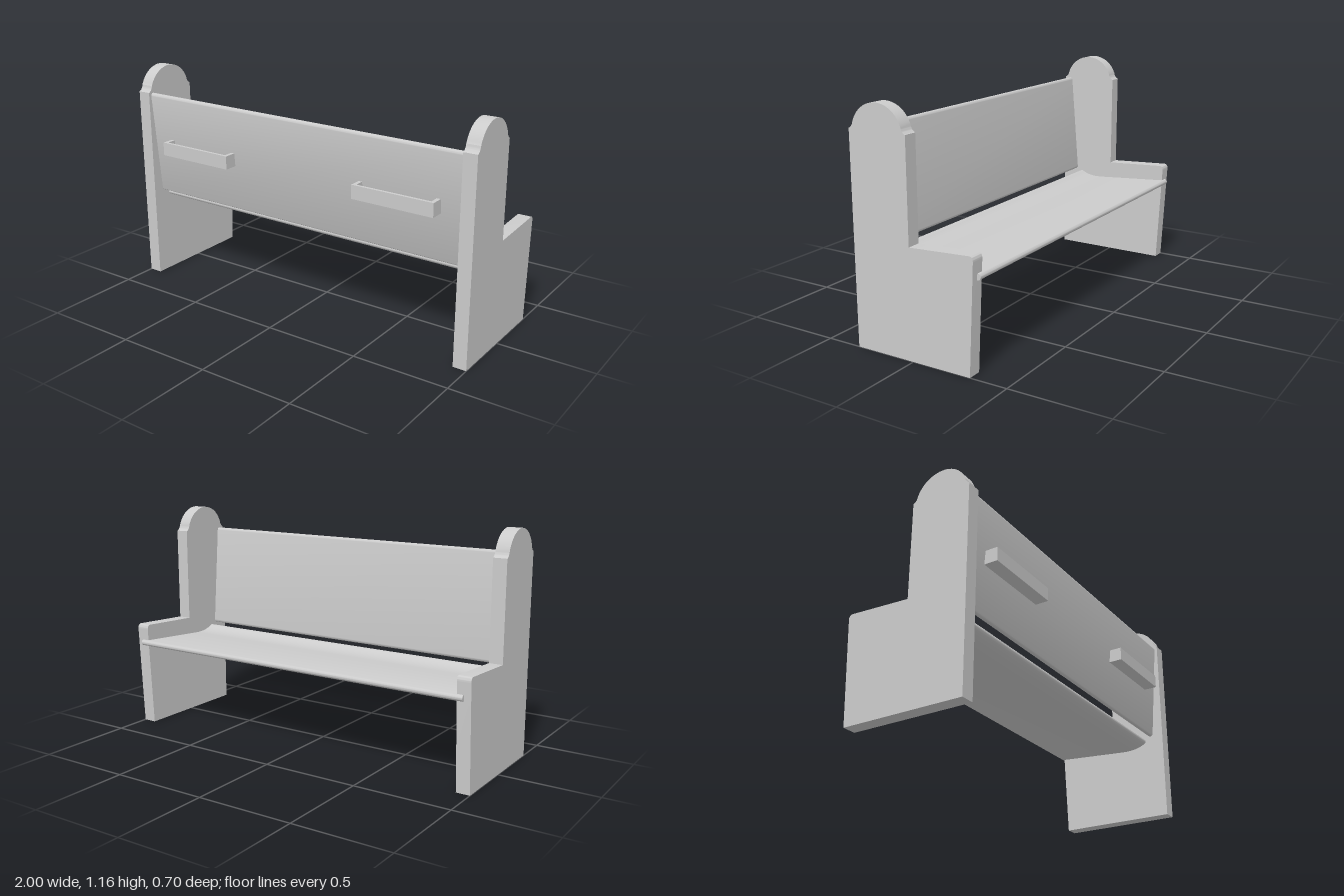
import * as THREE from 'three';
import { toCreasedNormals } from 'three/addons/utils/BufferGeometryUtils.js';

const material = new THREE.MeshStandardMaterial({ color: 0xcccccc });

// Side profile drawn in (z, y), extruded along x and centred on x = cx
function extrudeAcross(name, shape, width, cx = 0) {
  let geo = new THREE.ExtrudeGeometry(shape, { depth: width, bevelEnabled: false, curveSegments: 12 });
  geo.rotateY(-Math.PI / 2);
  geo.translate(cx + width / 2, 0, 0);
  geo = toCreasedNormals(geo, 0.55);
  const mesh = new THREE.Mesh(geo, material);
  mesh.name = name;
  return mesh;
}

// Board outline around a centre line, with half-round ends
function boardShape(points, r) {
  const n = points.length;
  const normals = points.map((p, i) => {
    const a = points[Math.max(i - 1, 0)], b = points[Math.min(i + 1, n - 1)];
    const d = b.clone().sub(a).normalize();
    return new THREE.Vector2(-d.y, d.x);
  });
  const cap = (p, normal) => {
    const out = [];
    for (let k = 1; k < 10; k++) {
      out.push(normal.clone().rotateAround(new THREE.Vector2(), -Math.PI * k / 10).multiplyScalar(r).add(p));
    }
    return out;
  };
  const upper = points.map((p, i) => p.clone().addScaledVector(normals[i], r));
  const lower = points.map((p, i) => p.clone().addScaledVector(normals[i], -r)).reverse();
  return new THREE.Shape([
    ...upper, ...cap(points[n - 1], normals[n - 1]),
    ...lower, ...cap(points[0], normals[0].clone().negate()),
  ]);
}

// End panel: arched post with a lower, slightly sloping arm
function endPanelShape() {
  const s = new THREE.Shape();
  s.moveTo(0.32, 0);
  s.lineTo(0.32, 1.037);
  s.quadraticCurveTo(0.3, 1.045, 0.296, 1.07);
  s.absarc(0.1625, 1.02, 0.1425, 0.359, Math.PI - 0.359, false);
  s.quadraticCurveTo(0.025, 1.045, 0.005, 1.037);
  s.lineTo(0.005, 0.539);
  s.lineTo(-0.315, 0.556);
  s.quadraticCurveTo(-0.336, 0.556, -0.335, 0.53);
  s.lineTo(-0.31, 0);
  s.closePath();
  return s;
}

// Open-topped book rack: floor, front rail and two ends
function bookRack(cx) {
  const rack = new THREE.Group();
  rack.name = 'bookRack';
  const add = (name, w, h, d, x, y, z) => {
    const m = new THREE.Mesh(new THREE.BoxGeometry(w, h, d), material);
    m.name = name;
    m.position.set(x, y, z);
    rack.add(m);
  };
  add('rackRail', 0.435, 0.07, 0.015, cx, 0.755, 0.3425);
  add('rackFloor', 0.435, 0.012, 0.06, cx, 0.726, 0.306);
  for (const side of [-1, 1]) add('rackEnd', 0.02, 0.07, 0.06, cx + side * 0.2075, 0.755, 0.306);
  return rack;
}

export function createModel() {
  const model = new THREE.Group();
  model.name = 'pew';

  // End panels and book racks, mirrored
  for (const side of [-1, 1]) {
    model.add(extrudeAcross(side > 0 ? 'leftEndPanel' : 'rightEndPanel', endPanelShape(), 0.07, side * 0.965));
    model.add(bookRack(side * 0.597));
  }

  // Seat: straight board curling up at the rear
  const curl = new THREE.QuadraticBezierCurve(
    new THREE.Vector2(0.06, 0.428), new THREE.Vector2(0.15, 0.421), new THREE.Vector2(0.199, 0.452));
  const seatLine = [new THREE.Vector2(-0.335, 0.457), ...curl.getPoints(12)];
  model.add(extrudeAcross('seat', boardShape(seatLine, 0.015), 1.93));

  // Backrest, leaning away from the seat
  const backLine = [new THREE.Vector2(0.245, 0.49), new THREE.Vector2(0.29, 1.018)];
  model.add(extrudeAcross('backrest', boardShape(backLine, 0.015), 1.87));

  return model;
}
